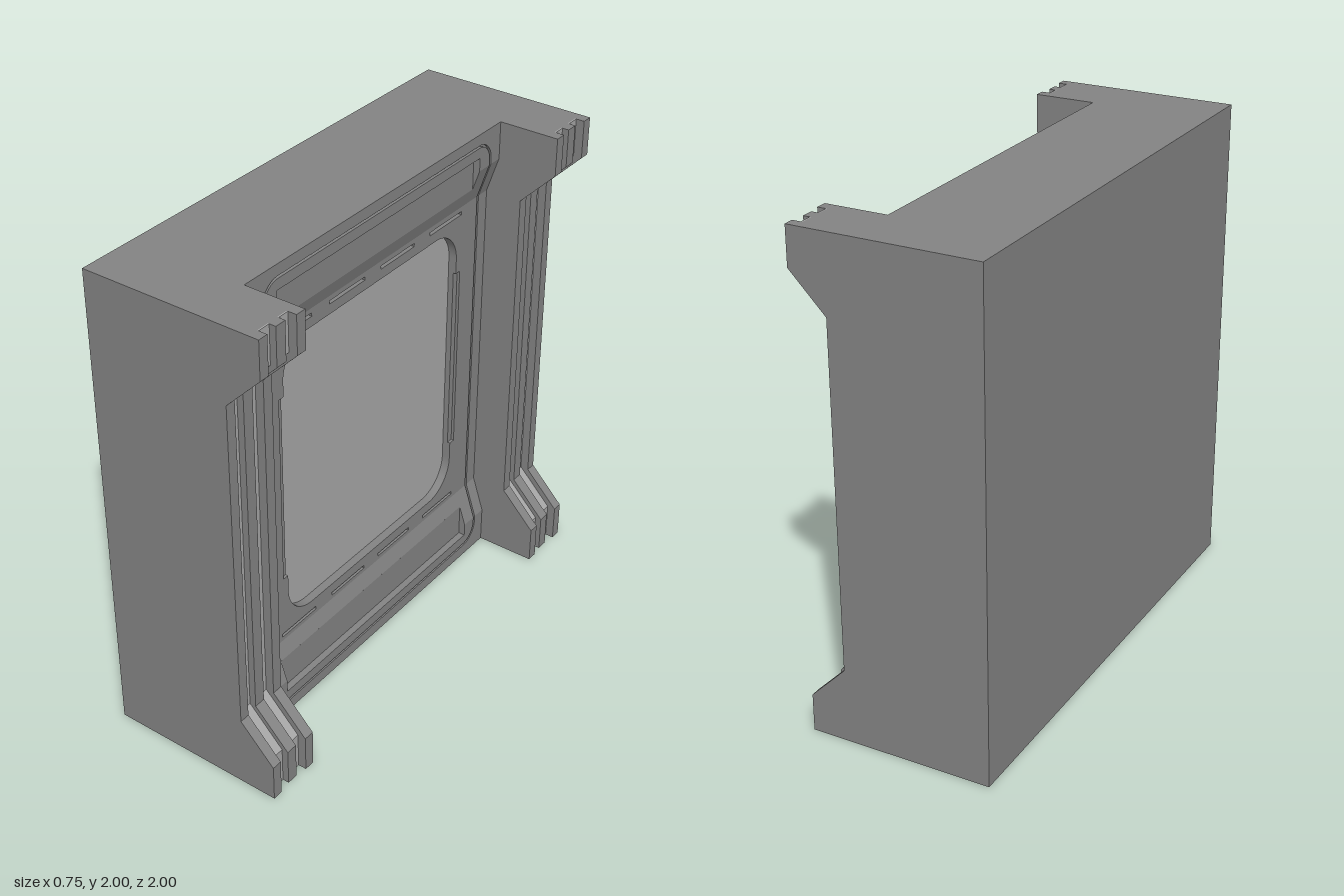
import * as THREE from 'three';
import { toCreasedNormals } from 'three/addons/utils/BufferGeometryUtils.js';

const darkGrey = new THREE.MeshStandardMaterial({ color: 0x838383 });
const midGrey = new THREE.MeshStandardMaterial({ color: 0xa6a6a6 });
const lightGrey = new THREE.MeshStandardMaterial({ color: 0xcccccc });
const BENDS = [0.155, 0.305, 1.695, 1.845]; // heights where the face changes slope
const PANEL_HALF = 0.765;
const SLOTS = [0.33, 1.668].flatMap((v) => [-0.455, -0.14, 0.17, 0.485].map((u) => [u, v]));

function add(parent, name, geometry, material = darkGrey) {
  const mesh = new THREE.Mesh(geometry, material);
  mesh.name = name;
  parent.add(mesh);
  return mesh;
}

function block(parent, name, x0, x1, y0, y1, z0, z1, material) {
  add(parent, name, new THREE.BoxGeometry(x1 - x0, y1 - y0, z1 - z0), material)
    .position.set((x0 + x1) / 2, (y0 + y1) / 2, (z0 + z1) / 2);
}

// Rounded rectangle; u runs along -z, v runs up
function rect(u0, u1, v0, v1, r = 0, Type = THREE.Path) {
  const p = new Type();
  if (r === 0) {
    return p.moveTo(u0, v0).lineTo(u1, v0).lineTo(u1, v1).lineTo(u0, v1).closePath();
  }
  p.moveTo(u0 + r, v0).lineTo(u1 - r, v0).absarc(u1 - r, v0 + r, r, -Math.PI / 2, 0);
  p.lineTo(u1, v1 - r).absarc(u1 - r, v1 - r, r, 0, Math.PI / 2);
  p.lineTo(u0 + r, v1).absarc(u0 + r, v1 - r, r, Math.PI / 2, Math.PI);
  p.lineTo(u0, v0 + r).absarc(u0 + r, v0 + r, r, Math.PI, Math.PI * 1.5);
  return p;
}

// Keep the part of a polygon on one side of a horizontal line
function clip(poly, y, side) {
  const out = [];
  poly.forEach((a, i) => {
    const b = poly[(i + 1) % poly.length];
    const da = (a.y - y) * side, db = (b.y - y) * side;
    if (da >= 0) out.push(a);
    if (da * db < 0) out.push(a.clone().lerp(b, da / (da - db)));
  });
  return out;
}

// Extrude a plate between two x values, cut it at the bends, and sink its middle
function bentPlate(shape, x0, x1) {
  const flat = new THREE.ExtrudeGeometry(shape, {
    depth: x1 - x0, bevelEnabled: false, curveSegments: 10,
  }).rotateY(Math.PI / 2).translate(x0, 0, 0);
  const pos = flat.attributes.position;
  let polys = [];
  for (let i = 0; i < pos.count; i += 3) {
    polys.push([0, 1, 2].map((k) => new THREE.Vector3().fromBufferAttribute(pos, i + k)));
  }
  for (const y of BENDS) {
    polys = polys.flatMap((p) => [clip(p, y, 1), clip(p, y, -1)]).filter((p) => p.length > 2);
  }
  const points = [];
  for (const p of polys) {
    for (let i = 1; i < p.length - 1; i++) points.push(p[0].clone(), p[i].clone(), p[i + 1].clone());
  }
  for (const p of points) {
    const fromEnd = Math.min(p.y, 2 - p.y);
    p.x -= 0.05 * THREE.MathUtils.clamp((fromEnd - 0.155) / 0.15, 0, 1);
  }
  const geometry = new THREE.BufferGeometry().setFromPoints(points);
  geometry.computeVertexNormals();
  return toCreasedNormals(geometry, 0.3);
}

// Window outline, optionally with the shallow notch on each side
function windowPath(notched) {
  const u0 = -0.517, u1 = 0.567, v0 = 0.38, v1 = 1.62, r = 0.145, n = 0.027;
  if (!notched) return rect(u0, u1, v0, v1, r);
  const p = new THREE.Path();
  p.moveTo(u0 + r, v0).lineTo(u1 - r, v0).absarc(u1 - r, v0 + r, r, -Math.PI / 2, 0);
  p.lineTo(u1, 0.6).lineTo(u1 + n, 0.6).lineTo(u1 + n, 1.41).lineTo(u1, 1.41);
  p.lineTo(u1, v1 - r).absarc(u1 - r, v1 - r, r, 0, Math.PI / 2);
  p.lineTo(u0 + r, v1).absarc(u0 + r, v1 - r, r, Math.PI / 2, Math.PI);
  p.lineTo(u0, 1.41).lineTo(u0 - n, 1.41).lineTo(u0 - n, 0.6).lineTo(u0, 0.6);
  p.lineTo(u0, v0 + r).absarc(u0 + r, v0 + r, r, Math.PI, Math.PI * 1.5);
  return p;
}

// Openings shared by both panel layers: window, slots and end recesses
function openings(notched) {
  return [
    windowPath(notched),
    ...SLOTS.map(([u, v]) => rect(u - 0.106, u + 0.106, v - 0.007, v + 0.007)),
    rect(-0.6, 0.63, 0.1, 0.24),
    rect(-0.6, 0.63, 1.76, 1.9),
  ];
}

// Rail profile between a back line and a stepped front, cut along z
function railStrip(profile, z0, z1, side) {
  const shape = new THREE.Shape(profile.map(([a, b]) => new THREE.Vector2(a, b)));
  return new THREE.ExtrudeGeometry(shape, { depth: z1 - z0, bevelEnabled: false })
    .translate(0, 0, side > 0 ? z0 : -z1);
}

// Front line of a rail, from bottom to top
const railFront = (x) => [
  [x, 0], [x, BENDS[0]], [x - 0.147, BENDS[1]], [x - 0.147, BENDS[2]], [x, BENDS[3]], [x, 2],
];

export function createModel() {
  const model = new THREE.Group();
  model.name = 'wallPanelHousing';

  // Solid body with the window pane on its front
  block(model, 'body', -0.375, 0.03, 0, 2, -1, 1);
  block(model, 'windowPane', 0.02, 0.038, 0.36, 1.64, -0.59, 0.54, midGrey);

  // Lower panel layer, forming the floor of the border groove and notches
  const lower = rect(-PANEL_HALF, PANEL_HALF, 0, 2, 0, THREE.Shape);
  lower.holes = openings(false);
  add(model, 'panelBase', bentPlate(lower, 0.03, 0.111));

  // Upper layer, split by the narrow border groove
  const frame = rect(-PANEL_HALF, PANEL_HALF, 0, 2, 0, THREE.Shape);
  frame.holes = [rect(-0.677, 0.708, 0.047, 1.954, 0.085)];
  add(model, 'panelFrame', bentPlate(frame, 0.111, 0.123));
  const face = rect(-0.667, 0.698, 0.057, 1.944, 0.075, THREE.Shape);
  face.holes = openings(true);
  add(model, 'panelFace', bentPlate(face, 0.111, 0.123));

  // Pale strips at the bottom of the slots
  for (const [u, v] of SLOTS) {
    block(model, 'slotStrip', 0.02, 0.05, v - 0.012, v + 0.012, -u - 0.11, -u + 0.11, lightGrey);
  }

  // Flat floors of the end recesses
  block(model, 'lowerRecessFloor', 0, 0.0947, 0.1, 0.24, -0.63, 0.6);
  block(model, 'upperRecessFloor', 0, 0.0947, 1.76, 1.9, -0.63, 0.6);

  // Side rails: strips of the same stepped profile, [inner z, outer z, front x]
  const strips = [
    [0.765, 0.81, 0.375],
    [0.81, 0.857, 0.34],
    [0.857, 0.905, 0.367],
    [0.905, 0.957, 0.34],
    [0.957, 1, 0.375],
  ];
  for (const side of [1, -1]) {
    const rail = new THREE.Group();
    rail.name = side > 0 ? 'frontRail' : 'backRail';
    for (const [z0, z1, x] of strips) {
      const isFin = x > 0.35;
      const core = [[0.03, 0], ...railFront(isFin ? x : x - 0.006), [0.03, 2]];
      add(rail, isFin ? 'railFin' : 'railGroove', railStrip(core, z0, z1, side));
      if (isFin) continue;
      // Paler lining on the groove floor
      const lining = [...railFront(x), ...railFront(x - 0.006).reverse()];
      add(rail, 'grooveLining', railStrip(lining, z0, z1, side), midGrey);
    }
    model.add(rail);
  }
  return model;
}
